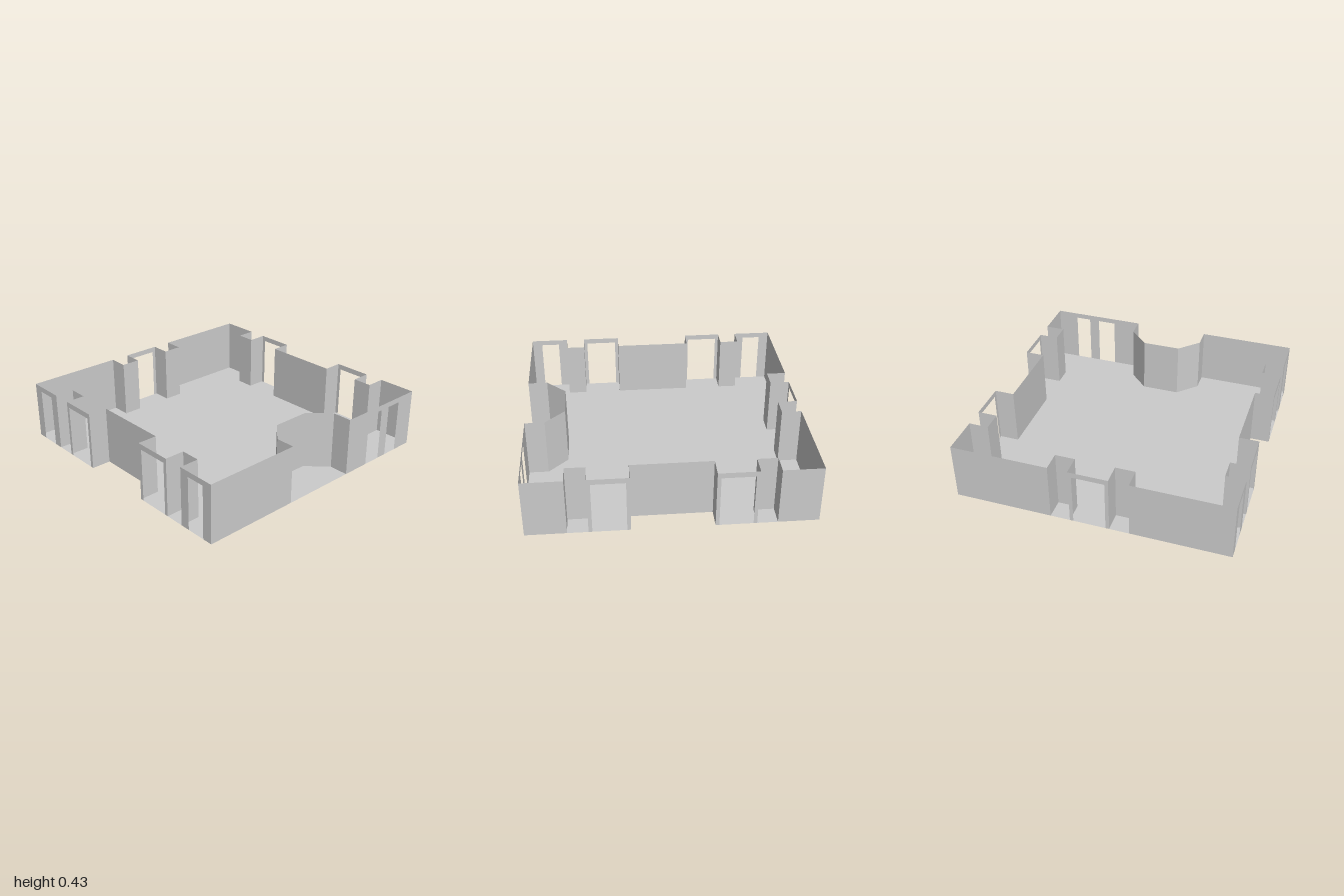
import * as THREE from 'three';

const H = 0.43;     // wall height
const DOOR = 0.39;  // opening height
const A = 0.143, B = 0.286, C = 0.571, D = 0.714, E = 0.857; // plan grid

const material = new THREE.MeshStandardMaterial({
  color: 0xcccccc, flatShading: true, side: THREE.DoubleSide,
});

// Thin wall from a to b ([x, z]); openings are [start, end] distances along it.
function wall(name, a, b, openings = []) {
  const dx = b[0] - a[0], dz = b[1] - a[1], length = Math.hypot(dx, dz);
  const shape = new THREE.Shape();
  shape.moveTo(0, 0);
  for (const [s, e] of openings) {
    shape.lineTo(s, 0);
    shape.lineTo(s, DOOR);
    shape.lineTo(e, DOOR);
    shape.lineTo(e, 0);
  }
  shape.lineTo(length, 0);
  shape.lineTo(length, H);
  shape.lineTo(0, H);
  const mesh = new THREE.Mesh(new THREE.ShapeGeometry(shape), material);
  mesh.name = name;
  mesh.position.set(a[0], 0, a[1]);
  mesh.rotation.y = Math.atan2(-dz, dx);
  return mesh;
}

// Run of walls through plan points; openings are keyed by segment index.
function wallRun(name, points, openings = {}) {
  const group = new THREE.Group();
  group.name = name;
  for (let i = 0; i < points.length - 1; i++) {
    const part = openings[i] ? 'doorWall' : 'wallPanel';
    group.add(wall(part, points[i], points[i + 1], openings[i]));
  }
  return group;
}

export function createModel() {
  const model = new THREE.Group();
  model.name = 'roomShell';

  // Floor with a notch in each side
  const plan = new THREE.Shape([
    [-1, -1], [1, -1], [1, -B], [E, -B], [E, B], [1, B],
    [1, 1], [-1, 1], [-1, B], [-E, B], [-E, -B], [-1, -B],
  ].map(([x, z]) => new THREE.Vector2(x, -z)));
  const floor = new THREE.Mesh(new THREE.ShapeGeometry(plan), material);
  floor.name = 'floor';
  floor.rotation.x = -Math.PI / 2;
  model.add(floor);

  // Front wall with a half-octagon alcove and two tall openings
  model.add(wallRun('frontWall', [
    [-1, 1], [-B, 1], [-B, E], [-A, D], [A, D], [B, E], [B, 1], [1, 1],
  ], { 6: [[0.502 - B, 0.643 - B], [0.724 - B, 0.841 - B]] }));

  // Back wall with a doorway between two recesses
  model.add(wallRun('backWall', [
    [-1, -1], [-B, -1], [-B, -E], [-A, -E], [-A, -1],
    [A, -1], [A, -E], [B, -E], [B, -1], [1, -1],
  ], { 4: [[A - 0.117, A + 0.117]] }));

  // Side walls: two doorways each, and extra end openings on the -x side
  for (const s of [1, -1]) {
    const doors = { 4: [[0.026, 0.26]], 8: [[0.026, 0.26]] };
    if (s < 0) {
      doors[0] = [[0.075, 0.215]];
      doors[12] = [[B - 0.215, B - 0.075]];
    }
    model.add(wallRun(s > 0 ? 'leftWall' : 'rightWall', [
      [1, 1], [1, D], [E, D], [E, C], [1, C], [1, B], [E, B],
      [E, -B], [1, -B], [1, -C], [E, -C], [E, -D], [1, -D], [1, -1],
    ].map(([x, z]) => [s * x, z]), doors));
  }
  return model;
}
